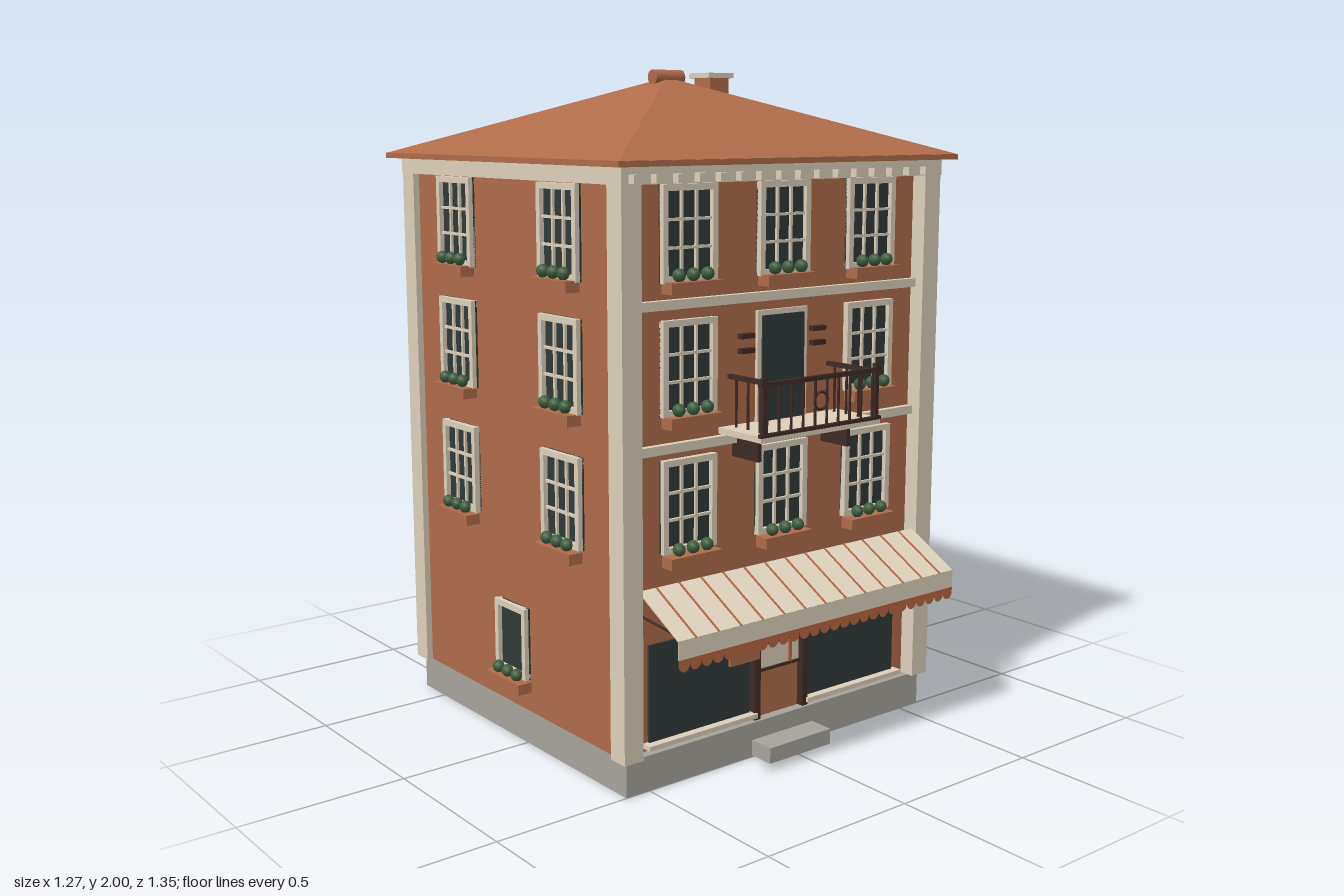
import * as THREE from 'three';

const paint = (name, color, side = THREE.FrontSide) => {
  const m = new THREE.MeshStandardMaterial({ color, side });
  m.name = name;
  return m;
};

export function createModel() {
  const terracotta = paint('terracotta', 0xb06c49);
  const cream = paint('cream stone', 0xddd1bb);
  const cloth = paint('awning cloth', 0xe0d5c0, THREE.DoubleSide);
  const trim = paint('awning trim', 0xb8683f, THREE.DoubleSide);
  const stone = paint('grey stone', 0xa6a49c);
  const glass = paint('dark glass', 0x303a39);
  const iron = paint('dark iron', 0x3e2a26);
  const leaf = paint('leaf green', 0x3f6040);

  const model = new THREE.Group();
  model.name = 'townhouse';
  const CZ = -0.06;        // centre of the house in depth
  const FRONT = 0.47, BACK = -0.615, SIDE = 0.58;

  const add = (parent, name, geo, mat, x = 0, y = 0, z = 0) => {
    const mesh = new THREE.Mesh(geo, mat);
    mesh.name = name;
    mesh.position.set(x, y, z);
    parent.add(mesh);
    return mesh;
  };
  // Box given by its limits on each axis
  const span = (parent, name, mat, x0, x1, y0, y1, z0, z1) =>
    add(parent, name, new THREE.BoxGeometry(x1 - x0, y1 - y0, z1 - z0), mat,
      (x0 + x1) / 2, (y0 + y1) / 2, (z0 + z1) / 2);
  // Round bar between two points
  const bar = (parent, name, mat, a, b, r) => {
    const p = new THREE.Vector3(...a), q = new THREE.Vector3(...b);
    const mesh = add(parent, name, new THREE.CylinderGeometry(r, r, p.distanceTo(q), 6), mat);
    mesh.position.copy(p).add(q).multiplyScalar(0.5);
    mesh.quaternion.setFromUnitVectors(new THREE.Vector3(0, 1, 0), q.sub(p).normalize());
    return mesh;
  };

  // Body: base, walls, corner strips, cornice
  span(model, 'base', stone, -0.58, 0.58, 0, 0.105, BACK, 0.5);
  span(model, 'walls', terracotta, -SIDE, SIDE, 0.105, 1.73, BACK, FRONT);
  for (const s of [-1, 1]) {
    const x0 = s < 0 ? -0.6 : 0.535;
    span(model, 'frontCorner', cream, x0, x0 + 0.065, 0.105, 1.73, 0.455, 0.52);
    span(model, 'backCorner', cream, x0, x0 + 0.065, 0.105, 1.73, -0.635, -0.57);
  }
  span(model, 'cornice', cream, -0.602, 0.602, 1.685, 1.735, -0.637, 0.522);
  for (let i = 0; i < 16; i++) {
    const x = -0.565 + i * 0.0723;
    span(model, 'frontDentil', cream, x - 0.012, x + 0.012, 1.688, 1.712, 0.52, 0.545);
    span(model, 'backDentil', cream, x - 0.012, x + 0.012, 1.688, 1.712, -0.66, -0.635);
  }
  for (const y of [0.965, 1.36]) span(model, 'frontBand', cream, -0.535, 0.535, y - 0.013, y + 0.013, FRONT, 0.49);
  for (const y of [0.585, 0.965, 1.36]) span(model, 'backBand', cream, -0.535, 0.535, y - 0.013, y + 0.013, -0.632, BACK);

  // Hipped roof with ridge cap and chimney
  span(model, 'eaves', terracotta, -0.635, 0.635, 1.732, 1.748, -0.678, 0.557);
  let roof = new THREE.ConeGeometry(Math.SQRT1_2, 0.23, 4, 1).rotateY(Math.PI / 4).scale(1.27, 1, 1.235).toNonIndexed();
  roof.computeVertexNormals();
  add(model, 'roof', roof, terracotta, 0, 1.862, CZ);
  add(model, 'ridgeCap', new THREE.CylinderGeometry(0.023, 0.023, 0.11, 14).rotateZ(Math.PI / 2), terracotta, 0, 1.977, CZ);
  span(model, 'chimney', terracotta, 0.318, 0.398, 1.8, 1.985, -0.318, -0.238);
  span(model, 'chimneyCap', cream, 0.305, 0.41, 1.984, 2, -0.332, -0.227);

  // Window with optional glazing bars and a planted box; local +z points outward
  const makeWindow = (x, y, z, turn, w, h, barred, boxY) => {
    const g = new THREE.Group();
    g.name = 'window';
    g.position.set(x, y, z);
    g.rotation.y = turn;
    model.add(g);
    const f = 0.018, X = w / 2, Y = h / 2;
    span(g, 'pane', glass, -X, X, -Y, Y, 0, 0.006);
    for (const s of [-1, 1]) {
      add(g, 'frameSide', new THREE.BoxGeometry(f, h, 0.02), cream, s * (X - f / 2), 0, 0.01);
      add(g, 'frameRail', new THREE.BoxGeometry(w, f, 0.02), cream, 0, s * (Y - f / 2), 0.01);
    }
    if (barred) for (const s of [-1, 1]) {
      add(g, 'uprightBar', new THREE.BoxGeometry(0.008, h - f, 0.008), cream, s * (w - 2 * f) / 6, 0, 0.01);
      add(g, 'crossBar', new THREE.BoxGeometry(w - f, 0.008, 0.008), cream, 0, s * (h - 2 * f) / 6, 0.01);
    }
    const by = boxY - y;
    span(g, 'flowerBox', terracotta, -0.09, 0.09, by, by + 0.032, 0.004, 0.05);
    for (const px of [-0.05, 0, 0.05]) {
      add(g, 'plant', new THREE.SphereGeometry(0.019, 8, 6), leaf, px, by + 0.05, 0.03);
    }
  };

  const rows = [1.55, 1.185, 0.8];
  rows.forEach((y, i) => {
    const boxY = [1.39, 1.022, 0.63][i];
    for (const x of [-0.345, 0, 0.345]) {
      if (x !== 0 || i !== 1) makeWindow(x, y, FRONT, 0, 0.19, 0.265, true, boxY);
    }
    for (const s of [-1, 1]) {
      makeWindow(s * 0.29, y, BACK, Math.PI, 0.19, 0.265, true, boxY);
      for (const z of [0.215, -0.335]) makeWindow(s * SIDE, y, z, s * Math.PI / 2, 0.19, 0.265, true, boxY);
    }
  });
  for (const s of [-1, 1]) makeWindow(s * SIDE, 0.315, CZ, s * Math.PI / 2, 0.165, 0.22, false, 0.168);
  makeWindow(0, 0.315, BACK, Math.PI, 0.19, 0.23, true, 0.168);

  // Balcony door and louvres
  span(model, 'balconyDoorFrame', cream, -0.095, 0.095, 1, 1.32, FRONT, 0.48);
  span(model, 'balconyDoorGlass', glass, -0.08, 0.08, 1, 1.305, 0.48, 0.485);
  for (const s of [-1, 1]) for (const y of [1.21, 1.252]) {
    add(model, 'louvre', new THREE.BoxGeometry(0.05, 0.014, 0.02), iron, s * 0.137, y, 0.48);
  }

  // Balcony
  const balcony = new THREE.Group();
  balcony.name = 'balcony';
  model.add(balcony);
  span(balcony, 'slab', cream, -0.23, 0.23, 0.982, 1, FRONT, 0.65);
  span(balcony, 'slabEdge', iron, -0.232, 0.232, 0.996, 1.006, 0.64, 0.652);
  span(balcony, 'topRail', iron, -0.23, 0.23, 1.135, 1.148, 0.636, 0.65);
  for (let i = 0; i < 10; i++) {
    const x = -0.2025 + i * 0.045;
    bar(balcony, 'baluster', iron, [x, 1, 0.643], [x, 1.14, 0.643], 0.004);
  }
  add(balcony, 'railRing', new THREE.TorusGeometry(0.025, 0.004, 6, 20), iron, 0, 1.075, 0.643);
  for (const s of [-1, 1]) {
    const x = s * 0.19;
    span(balcony, 'sideRail', iron, x - 0.007, x + 0.007, 1.135, 1.148, FRONT, 0.643);
    for (const z of [0.5, 0.55, 0.6]) bar(balcony, 'sideBaluster', iron, [x, 1, z], [x, 1.14, z], 0.004);
    add(balcony, 'post', new THREE.BoxGeometry(0.014, 0.16, 0.014), iron, s * 0.215, 1.08, 0.643);
    add(balcony, 'bracket', new THREE.BoxGeometry(0.014, 0.055, 0.11), iron, s * 0.172, 0.938, 0.525);
  }

  // Shop front
  const shop = new THREE.Group();
  shop.name = 'shopFront';
  model.add(shop);
  for (const s of [-1, 1]) {
    add(shop, 'shopWindow', new THREE.BoxGeometry(0.37, 0.285, 0.008), glass, s * 0.298, 0.272, FRONT + 0.004);
    add(shop, 'shopSill', new THREE.BoxGeometry(0.4, 0.014, 0.035), cream, s * 0.3, 0.123, 0.485);
    add(shop, 'doorPost', new THREE.BoxGeometry(0.022, 0.3, 0.025), iron, s * 0.095, 0.257, 0.482);
  }
  span(shop, 'doorPanel', cream, -0.083, 0.083, 0.245, 0.4, FRONT, 0.476);
  for (const y of [0.25, 0.33, 0.4]) span(shop, 'doorRail', iron, -0.085, 0.085, y - 0.004, y + 0.004, FRONT, 0.482);
  span(shop, 'doorDivider', terracotta, 0.04, 0.05, 0.25, 0.33, FRONT, 0.482);
  span(model, 'doorStep', stone, -0.12, 0.12, 0.005, 0.052, 0.49, 0.58);

  // Awning: sloped cloth, front drop, striped scallops and arms
  const awning = new THREE.Group();
  awning.name = 'awning';
  model.add(awning);
  const W = 1.07;
  const top = [0.585, 0.5], lip = [0.49, 0.675];
  const run = Math.hypot(top[0] - lip[0], top[1] - lip[1]);
  const tilt = Math.atan2(top[0] - lip[0], lip[1] - top[1]);
  const slope = new THREE.Group();
  slope.name = 'awningSlope';
  slope.position.set(0, (top[0] + lip[0]) / 2, (top[1] + lip[1]) / 2);
  slope.rotation.x = tilt;
  awning.add(slope);
  add(slope, 'canopy', new THREE.BoxGeometry(W, 0.004, run), cloth);
  add(awning, 'frontDrop', new THREE.BoxGeometry(W, 0.052, 0.003), cloth, 0, 0.464, 0.674);
  const scallop = new THREE.CircleGeometry(0.0195, 10, Math.PI, Math.PI);
  const count = 27, step = W / count;
  for (let i = 0; i < count; i++) {
    const x = -W / 2 + step * (i + 0.5);
    add(awning, 'scallop', scallop, trim, x, 0.422, 0.675);
    add(awning, 'scallopBand', new THREE.PlaneGeometry(step, 0.018), trim, x, 0.431, 0.675);
    if (i % 2) add(slope, 'stripe', new THREE.BoxGeometry(0.006, 0.002, run), trim, x, 0.003, 0);
  }
  for (const s of [-1, 1]) {
    bar(awning, 'arm', iron, [s * 0.5, 0.5, FRONT], [s * 0.5, 0.483, 0.672], 0.004);
  }
  bar(awning, 'frontRod', iron, [-W / 2, 0.488, 0.67], [W / 2, 0.488, 0.67], 0.004);

  // Hanging sign board
  span(model, 'signBoard', terracotta, -0.275, -0.165, 0.335, 0.42, 0.573, 0.581);
  bar(model, 'signArm', iron, [-0.22, 0.433, FRONT], [-0.22, 0.433, 0.585], 0.005);
  bar(model, 'signHanger', iron, [-0.22, 0.433, 0.577], [-0.22, 0.415, 0.577], 0.003);

  return model;
}
